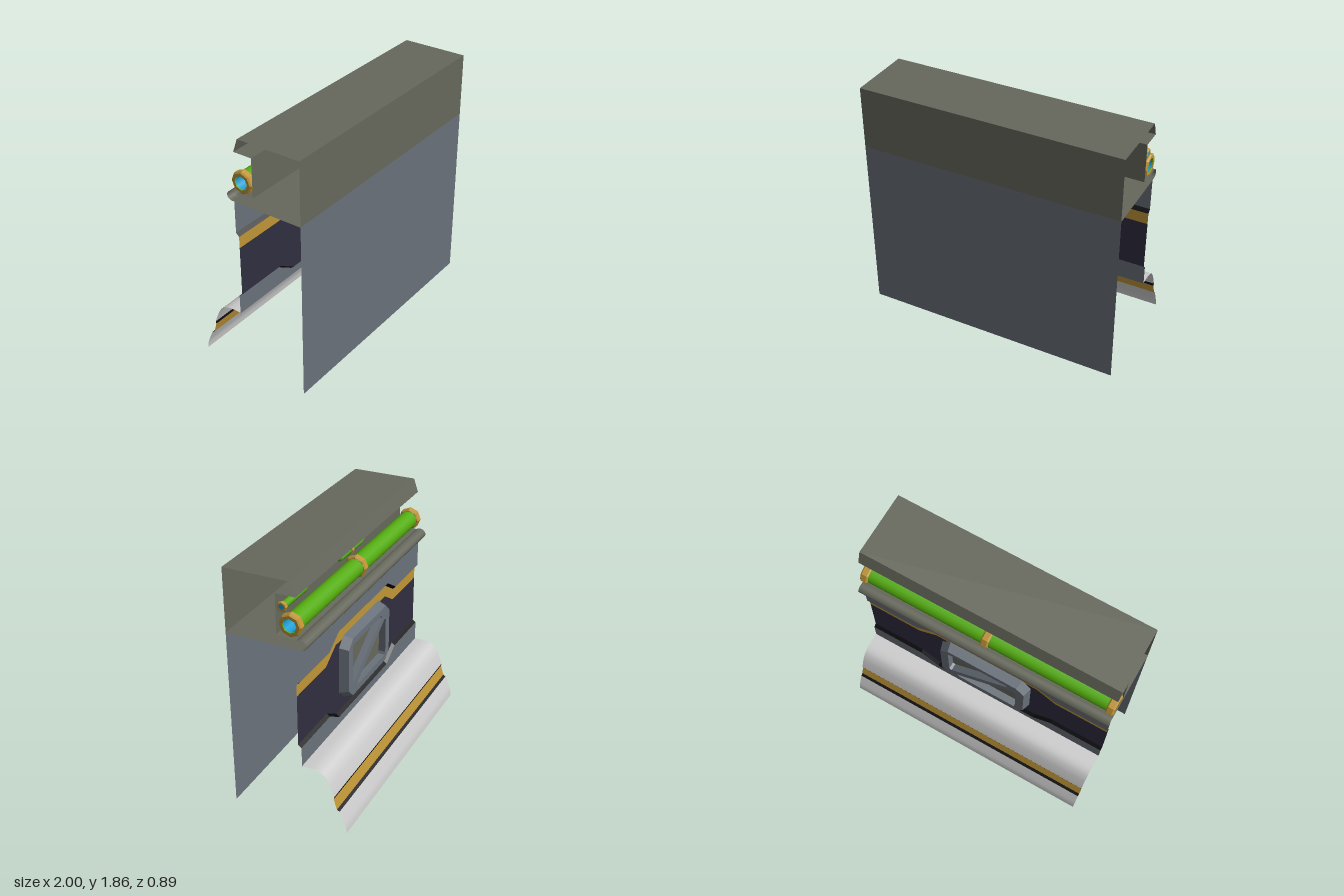
import * as THREE from 'three';

const COLORS = {
  olive: 0x66685c, slate: 0x69717a, indigo: 0x302e40, gold: 0xbf9537,
  black: 0x0b0b0e, green: 0x55ad10, blue: 0x1c9fd6, grey: 0xcccccc,
};
const V = (x, y, z) => new THREE.Vector3(x, y, z);

export function createModel() {
  const model = new THREE.Group();
  const mats = {};
  for (const k in COLORS) {
    mats[k] = new THREE.MeshStandardMaterial({ color: COLORS[k], side: THREE.DoubleSide });
  }
  const add = (name, geo, color, parent = model) => {
    const mesh = new THREE.Mesh(geo, mats[color]);
    mesh.name = name;
    parent.add(mesh);
    return mesh;
  };

  // Ribbon of quads between two rows of points
  const ribbon = (name, a, b, color, smooth = false) => {
    const pos = [], idx = [];
    a.forEach((p, i) => pos.push(...p.toArray(), ...b[i].toArray()));
    for (let i = 0; i < a.length - 1; i++) {
      const k = 2 * i;
      idx.push(k, k + 1, k + 2, k + 2, k + 1, k + 3);
    }
    let geo = new THREE.BufferGeometry();
    geo.setAttribute('position', new THREE.Float32BufferAttribute(pos, 3));
    geo.setIndex(idx);
    if (!smooth) geo = geo.toNonIndexed();
    geo.computeVertexNormals();
    return add(name, geo, color);
  };
  // Profile of [z, y] points swept over the full width
  const sheet = (name, profile, color, smooth) => ribbon(name,
    profile.map(([z, y]) => V(1, y, z)), profile.map(([z, y]) => V(-1, y, z)), color, smooth);
  const curved = (pts, n) => new THREE.CatmullRomCurve3(pts.map(([z, y]) => V(0, y, z)))
    .getPoints(n).map((p) => [p.z, p.y]);

  // Front wall, roof, pipe niche and ledge
  sheet('frontWall', [[0.445, 0], [0.445, 1.38]], 'slate');
  sheet('roofAndNiche', [[0.445, 1.38], [0.445, 1.86], [-0.055, 1.86], [-0.09, 1.757],
    [0.058, 1.757], [0.058, 1.46], [-0.085, 1.445]], 'olive');
  sheet('ledgeNose', curved([[-0.085, 1.445], [-0.11, 1.455], [-0.145, 1.448], [-0.165, 1.42],
    [-0.155, 1.392], [-0.13, 1.38], [-0.105, 1.38]], 16), 'olive', true);
  sheet('ledgeFloor', [[-0.105, 1.38], [0.445, 1.38]], 'olive');

  // Recessed panel whose upper and lower edges step outward in the middle
  const OUT = -0.105, IN = -0.08;
  const xs = [1, 0.57, 0.42, -0.42, -0.57, -1];
  const step = (end, mid, z) => xs.map((x) => V(x, Math.abs(x) < 0.5 ? mid : end, z));
  const level = (y, z) => step(y, y, z);
  const upOut = step(1.135, 1.23, OUT), upIn = step(1.11, 1.205, IN);
  const goldLow = step(1.02, 1.115, IN);
  const lowIn = step(0.635, 0.545, IN), lowOut = step(0.615, 0.525, OUT);
  ribbon('upperPanel', level(1.38, OUT), upOut, 'slate');
  ribbon('upperBevel', upOut, upIn, 'black');
  ribbon('goldBand', upIn, goldLow, 'gold');
  ribbon('darkPanel', goldLow, lowIn, 'indigo');
  ribbon('lowerBevel', lowIn, lowOut, 'black');
  ribbon('lowerPanel', lowOut, level(0.46, OUT), 'slate');

  // Flared skirt with a grooved gold stripe
  sheet('skirtTop', curved([[-0.105, 0.465], [-0.2, 0.465], [-0.26, 0.445], [-0.3, 0.4],
    [-0.33, 0.335], [-0.35, 0.28]], 20), 'grey', true);
  sheet('stripeUpperEdge', [[-0.35, 0.28], [-0.346, 0.262]], 'black');
  sheet('skirtStripe', [[-0.346, 0.262], [-0.37, 0.18]], 'gold');
  sheet('stripeLowerEdge', [[-0.37, 0.18], [-0.39, 0.168]], 'black');
  sheet('skirtBottom', curved([[-0.39, 0.168], [-0.415, 0.11], [-0.436, 0.055], [-0.445, 0]], 8),
    'grey', true);

  // Window frame: tapered octagon with two triangular openings
  const frame = new THREE.Group();
  frame.name = 'windowFrame';
  frame.position.set(0, 0.88, 0);
  model.add(frame);
  const octagon = (w, h, c) => [[w, h - c], [w - c, h], [c - w, h], [-w, h - c],
    [-w, c - h], [c - w, -h], [w - c, -h], [w, c - h]];
  const toShape = (pts, C = THREE.Shape) => new C(pts.map(([x, y]) => new THREE.Vector2(x, y)));
  const faceOutline = octagon(0.35, 0.235, 0.065), baseOutline = octagon(0.37, 0.255, 0.07);
  const triangle = [[0.285, 0.165], [0.275, 0.185], [-0.2, 0.185], [-0.215, 0.165],
    [0.265, -0.13], [0.285, -0.12]];
  const holes = [triangle, triangle.map(([x, y]) => [-x, -y])];
  const face = toShape(faceOutline);
  holes.forEach((h) => face.holes.push(toShape(h, THREE.Path)));
  add('frameFace', new THREE.ShapeGeometry(face), 'slate', frame).position.z = -0.15;
  const wall = (name, a, za, b, zb) => {
    const row = (pts, z) => [...pts, pts[0]].map(([x, y]) => V(x, y, z));
    frame.add(ribbon(name, row(a, za), row(b, zb), 'slate'));
  };
  wall('frameSide', faceOutline, -0.15, baseOutline, IN);
  holes.forEach((h) => wall('openingSide', h, -0.15, h, -0.095));
  add('windowPane', new THREE.ShapeGeometry(toShape(octagon(0.32, 0.21, 0.06))), 'olive', frame)
    .position.z = -0.094;

  // Hollow collar around a pipe, at a point and along an axis
  const collar = (name, p, axis, rOut, rIn, length, sides) => {
    const h = length / 2, b = rOut * 0.12;
    const pts = [[rIn, -h], [rOut - b, -h], [rOut, b - h], [rOut, h - b], [rOut - b, h], [rIn, h]];
    const geo = new THREE.LatheGeometry(pts.map(([r, y]) => new THREE.Vector2(r, y)), sides)
      .toNonIndexed();
    geo.computeVertexNormals();
    const mesh = add(name, geo, 'gold');
    mesh.position.copy(p);
    mesh.quaternion.setFromUnitVectors(V(0, 1, 0), axis);
  };
  const X = V(1, 0, 0);

  // Main pipe with blue lining
  const pipe = (name, r, color, sides) => {
    const m = add(name, new THREE.CylinderGeometry(r, r, 1.98, sides, 1, true), color);
    m.rotation.z = Math.PI / 2;
    m.position.set(0, 1.54, -0.04);
  };
  pipe('mainPipe', 0.068, 'green', 16);
  pipe('mainPipeLining', 0.052, 'blue', 8);
  [0.97, 0, -0.97].forEach((x) =>
    collar('mainPipeCollar', V(x, 1.54, -0.04), X, 0.084, 0.052, 0.06, 8));

  // Thin pipe that steps up, down and then into the soffit
  const route = [[1, 1.665], [0.7, 1.665], [0.6, 1.725], [0.27, 1.725], [0.16, 1.66],
    [-0.17, 1.66], [-0.22, 1.69], [-0.22, 1.79]].map(([x, y]) => V(x, y, 0.015));
  const path = new THREE.CurvePath();
  for (let i = 1; i < route.length; i++) path.add(new THREE.LineCurve3(route[i - 1], route[i]));
  add('thinPipe', new THREE.TubeGeometry(path, 120, 0.027, 8), 'green');
  const plug = add('thinPipeEnd', new THREE.CircleGeometry(0.02, 8), 'blue');
  plug.position.set(0.999, 1.665, 0.015);
  plug.rotation.y = Math.PI / 2;
  [[0.985, 1.665], [0.57, 1.725], [0.28, 1.725], [0, 1.66]].forEach(([x, y]) =>
    collar('thinPipeCollar', V(x, y, 0.015), X, 0.035, 0.02, 0.03, 8));
  collar('thinPipeCollar', V(-0.22, 1.735, 0.015), V(0, 1, 0), 0.035, 0.02, 0.03, 8);

  return model;
}
